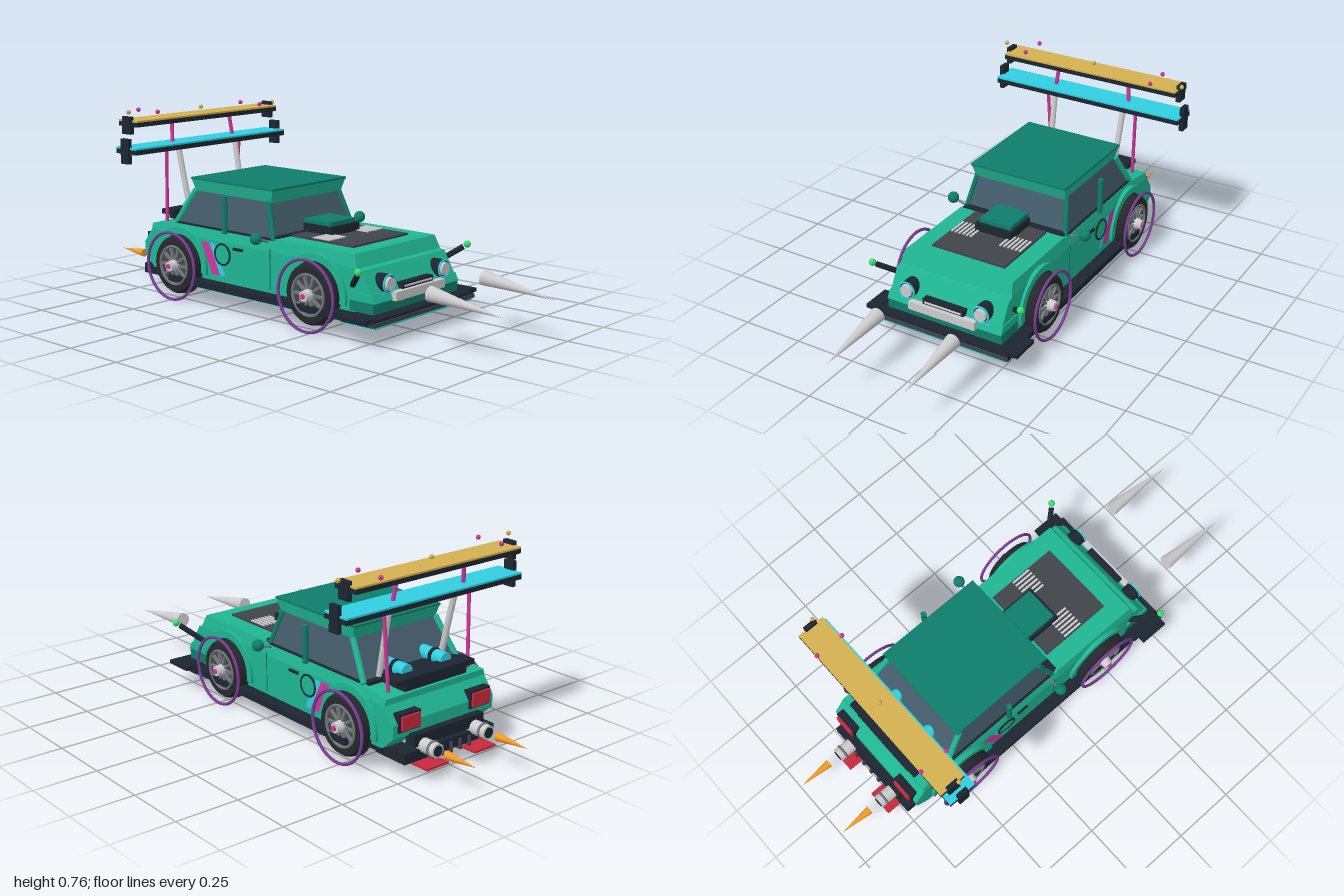
import * as THREE from 'three';

const C = { teal: 0x1fb592, dark: 0x0f7d6b, black: 0x1c2630, tire: 0x25282b, glass: 0x435c6a, grey: 0xcccccc, mid: 0x70767a,
  panel: 0x40454a, cyan: 0x2fcfe0, gold: 0xd4b050, pink: 0xd0359a, purple: 0x7a3c94, red: 0xc8283c, orange: 0xf09a28, green: 0x35e070 };
const mats = {};
const mat = (c, flat = true) => mats[c + '|' + flat] ??= new THREE.MeshStandardMaterial({ color: C[c], flatShading: flat, side: THREE.DoubleSide });
const V = (a) => new THREE.Vector3(...a);

export function createModel() {
  const car = new THREE.Group();
  car.name = 'rallyCar';
  const add = (name, geo, c, pos = [0, 0, 0], flat = true, parent = car) => {
    const m = new THREE.Mesh(geo, mat(c, flat));
    m.name = name;
    m.position.set(...pos);
    parent.add(m);
    return m;
  };
  // Box given by its min/max limits on each axis
  const box = (name, c, x0, x1, y0, y1, z0, z1) =>
    add(name, new THREE.BoxGeometry(x1 - x0, y1 - y0, z1 - z0), c, [(x0 + x1) / 2, (y0 + y1) / 2, (z0 + z1) / 2]);
  // Round bar or cone from p to q
  const rod = (name, c, p, q, r0, r1 = r0, seg = 12) => {
    const a = V(p), b = V(q), d = b.clone().sub(a);
    const m = add(name, new THREE.CylinderGeometry(r1, r0, d.length(), seg), c, a.clone().add(b).multiplyScalar(0.5).toArray(), false);
    m.quaternion.setFromUnitVectors(new THREE.Vector3(0, 1, 0), d.normalize());
    return m;
  };
  const ball = (name, c, p, r) => add(name, new THREE.SphereGeometry(r, 16, 12), c, p, false);
  const shape = (pts) => new THREE.Shape(pts.map(([x, y]) => new THREE.Vector2(x, y)));
  // Side profile extruded across the car, half width w0 at y0 changing to w1 at y1
  const hull = (name, c, pts, w0, w1 = w0, y0 = 0, y1 = 1) => {
    const g = new THREE.ExtrudeGeometry(shape(pts), { depth: 2, bevelEnabled: false });
    const p = g.attributes.position;
    for (let i = 0; i < p.count; i++)
      p.setZ(i, (p.getZ(i) - 1) * THREE.MathUtils.mapLinear(p.getY(i), y0, y1, w0, w1));
    g.computeVertexNormals();
    return add(name, g, c);
  };

  // Body shell
  hull('lowerBody', 'teal', [[-0.66, 0.1], [0.42, 0.1], [0.5, 0.17], [0.45, 0.255], [0.42, 0.26], [-0.67, 0.26], [-0.715, 0.2], [-0.715, 0.15]], 0.245);
  hull('hood', 'teal', [[0.0, 0.26], [0.43, 0.26], [0.41, 0.31], [0.02, 0.31]], 0.245, 0.235, 0.26, 0.31);
  hull('rearDeck', 'teal', [[-0.67, 0.26], [0.02, 0.26], [0.02, 0.3], [-0.53, 0.3], [-0.67, 0.283]], 0.245, 0.235, 0.26, 0.3);
  hull('cabinGlass', 'glass', [[-0.54, 0.3], [0.0, 0.3], [-0.05, 0.44], [-0.45, 0.44]], 0.225, 0.2, 0.3, 0.44);
  hull('roof', 'teal', [[-0.45, 0.435], [-0.035, 0.435], [-0.02, 0.485], [-0.465, 0.485]], 0.2, 0.21, 0.435, 0.485);
  box('roofPanel', 'dark', -0.467, -0.018, 0.483, 0.491, -0.212, 0.212);
  box('rearWindowFrame', 'black', -0.56, -0.535, 0.295, 0.31, -0.22, 0.22);
  box('cowl', 'black', -0.005, 0.025, 0.295, 0.315, -0.225, 0.225);

  // Hood panel, louvers and scoop
  box('hoodPanel', 'panel', 0.035, 0.34, 0.305, 0.318, -0.16, 0.16);
  for (const s of [-1, 1]) for (let i = 0; i < 6; i++) {
    const z = s * (0.066 + i * 0.017);
    box('hoodLouver', 'grey', 0.135, 0.22, 0.315, 0.322, z - 0.004, z + 0.004);
  }
  box('scoopBase', 'black', 0.02, 0.165, 0.317, 0.35, -0.08, 0.08);
  box('scoopTop', 'dark', 0.015, 0.15, 0.35, 0.366, -0.07, 0.07);

  // Nose: bumper, grille and splitter
  box('lowerNose', 'dark', 0.4, 0.51, 0.105, 0.145, -0.25, 0.25);
  hull('noseLedge', 'teal', [[0.4, 0.145], [0.515, 0.145], [0.5, 0.175], [0.4, 0.175]], 0.25);
  box('grille', 'black', 0.46, 0.515, 0.165, 0.195, -0.09, 0.09);
  box('grilleBar', 'grey', 0.515, 0.52, 0.18, 0.186, -0.08, 0.08);
  box('frontBumper', 'grey', 0.505, 0.53, 0.14, 0.173, -0.145, 0.145);
  box('splitter', 'black', 0.4, 0.55, 0.074, 0.1, -0.3, 0.3);
  box('splitterUnderside', 'cyan', 0.4, 0.55, 0.066, 0.074, -0.29, 0.29);
  box('splitterLip', 'panel', 0.53, 0.555, 0.075, 0.09, -0.3, 0.3);

  // Chassis and underfloor
  box('chassis', 'black', -0.64, 0.42, 0.075, 0.105, -0.235, 0.235);
  box('floorPanel', 'green', -0.43, 0.33, 0.04, 0.047, -0.2, 0.2);
  for (const x of [-0.35, -0.05, 0.25]) for (const z of [-0.16, -0.08, 0.08, 0.16])
    box('floorBracket', 'mid', x - 0.02, x + 0.02, 0.045, 0.08, z - 0.006, z + 0.006);

  // Tail
  box('rearBumper', 'black', -0.745, -0.7, 0.11, 0.155, -0.17, 0.17);
  box('diffuser', 'black', -0.75, -0.6, 0.06, 0.1, -0.22, 0.22);
  for (let i = -2; i <= 2; i++) box('diffuserFin', 'panel', -0.76, -0.6, 0.05, 0.09, i * 0.045 - 0.004, i * 0.045 + 0.004);
  box('engineTray', 'black', -0.67, -0.53, 0.29, 0.325, -0.15, 0.15);
  box('engineBar', 'black', -0.67, -0.6, 0.315, 0.335, -0.19, 0.19);

  // Rear wings: slab, coloured top skin, end plates
  const wing = (name, c, x0, x1, y0, y1, w, ex0, ex1, ey0, ey1) => {
    box(name, 'black', x0, x1, y0, y1 - 0.007, -w, w);
    box(name + 'Skin', c, x0, x1, y1 - 0.007, y1, -w, w);
    for (const s of [-1, 1]) box(name + 'EndPlate', 'black', ex0, ex1, ey0, ey1, s * w - 0.009, s * w + 0.009);
  };
  wing('lowerWing', 'cyan', -0.67, -0.555, 0.59, 0.616, 0.42, -0.635, -0.59, 0.552, 0.651);
  wing('upperWing', 'gold', -0.685, -0.575, 0.696, 0.721, 0.393, -0.655, -0.605, 0.666, 0.735);
  for (const [x, y, z, c] of [[-0.61, 0.755, 0.405, 'gold'], [-0.63, 0.743, 0, 'gold'], [-0.61, 0.732, -0.405, 'gold'],
    [-0.685, 0.75, 0.29, 'pink'], [-0.57, 0.75, 0.29, 'pink'], [-0.685, 0.735, -0.285, 'pink'], [-0.57, 0.735, -0.285, 'pink']])
    ball('wingBead', c, [x, y, z], 0.009);

  // Wheel built around its own axis, outer face towards +z
  const wheel = (x, s) => {
    const g = new THREE.Group();
    g.name = 'wheel';
    const tire = [[0.08, -0.027], [0.106, -0.027], [0.115, -0.015], [0.115, 0.015], [0.106, 0.027], [0.08, 0.027], [0.08, -0.027]];
    const part = (n, geo, c, z, flat) => add(n, geo, c, [0, 0, z], flat, g);
    part('tire', new THREE.LatheGeometry(tire.map(([r, y]) => new THREE.Vector2(r, y)), 28).rotateX(Math.PI / 2), 'tire', 0);
    part('rimDisc', new THREE.CylinderGeometry(0.08, 0.08, 0.03, 28).rotateX(Math.PI / 2), 'panel', 0);
    part('rimLip', new THREE.TorusGeometry(0.077, 0.006, 8, 32), 'mid', 0.026, false);
    for (let i = 0; i < 10; i++)
      part('spoke', new THREE.BoxGeometry(0.066, 0.01, 0.012).translate(0.04, 0, 0).rotateZ(i * Math.PI / 5), 'mid', 0.02);
    part('hub', new THREE.CylinderGeometry(0.02, 0.024, 0.035, 16).rotateX(Math.PI / 2), 'grey', 0.036, false);
    part('hubCap', new THREE.CylinderGeometry(0.01, 0.01, 0.01, 12).rotateX(Math.PI / 2), 'pink', 0.056);
    part('haloRing', new THREE.TorusGeometry(0.135, 0.006, 8, 48), 'purple', 0.042, false);
    g.position.set(x, 0.14, s * 0.265);
    if (s < 0) g.rotation.y = Math.PI;
    car.add(g);
  };
  // Fender arch over a wheel
  const arch = new THREE.Shape();
  arch.absarc(0, 0, 0.15, -0.15, Math.PI + 0.15, false);
  arch.absarc(0, 0, 0.122, Math.PI + 0.15, -0.15, true);
  const archGeo = new THREE.ExtrudeGeometry(arch, { depth: 0.02, bevelEnabled: false, curveSegments: 20 }).translate(0, 0, -0.01);

  for (const s of [-1, 1]) {
    for (const x of [-0.49, 0.235]) {
      wheel(x, s);
      add('fenderArch', archGeo, 'teal', [x, 0.14, s * 0.247]);
      add('wheelWell', new THREE.CircleGeometry(0.122, 28), 'black', [x, 0.14, s * 0.247]);
    }
    // Box mirrored onto this side, z limits as distances from the middle
    const side = (n, c, x0, x1, y0, y1, a, b) => box(n, c, x0, x1, y0, y1, Math.min(s * a, s * b), Math.max(s * a, s * b));

    // Sills
    side('sill', 'black', -0.52, 0.5, 0.075, 0.1, 0.23, 0.295);
    side('sillStrip', 'cyan', -0.45, 0.35, 0.053, 0.063, 0.21, 0.24);
    side('splitterTab', 'black', 0.42, 0.54, 0.09, 0.105, 0.28, 0.333);

    // Window pillars and frames
    rod('frontPillar', 'dark', [0.0, 0.3, s * 0.226], [-0.05, 0.44, s * 0.201], 0.01, 0.01, 8);
    rod('rearPillar', 'teal', [-0.54, 0.3, s * 0.226], [-0.45, 0.44, s * 0.201], 0.012, 0.012, 8);
    rod('middlePillar', 'dark', [-0.24, 0.297, s * 0.248], [-0.24, 0.444, s * 0.248], 0.011);
    rod('windowSill', 'black', [-0.54, 0.302, s * 0.228], [0, 0.302, s * 0.228], 0.006, 0.006, 6);

    // Mirror
    rod('mirrorArm', 'mid', [-0.02, 0.295, s * 0.235], [-0.02, 0.312, s * 0.3], 0.004);
    ball('mirror', 'dark', [-0.02, 0.315, s * 0.3], 0.023);

    // Door details
    side('doorHandle', 'black', -0.195, -0.145, 0.238, 0.248, 0.243, 0.252);
    side('doorSeam', 'dark', -0.003, 0.001, 0.11, 0.27, 0.244, 0.2465);
    for (const [c, x, w] of [['pink', -0.375, 0.045], ['cyan', -0.33, 0.03]])
      add('doorStripe', new THREE.ShapeGeometry(shape([[x, 0.25], [x + 0.06, 0.125], [x + 0.06 + w, 0.125], [x + w, 0.25]])), c, [0, 0, s * 0.2475]);
    add('doorDisc', new THREE.CircleGeometry(0.038, 28), 'teal', [-0.255, 0.212, s * 0.2485], false);
    add('doorRing', new THREE.TorusGeometry(0.041, 0.004, 6, 32), 'black', [-0.255, 0.212, s * 0.248], false);

    // Headlight, lamp trim and probe
    rod('headlightCase', 'black', [0.42, 0.205, s * 0.162], [0.51, 0.205, s * 0.162], 0.034, 0.034, 20);
    rod('headlightLens', 'grey', [0.5, 0.205, s * 0.162], [0.52, 0.205, s * 0.162], 0.028, 0.024, 20);
    add('headlightRing', new THREE.TorusGeometry(0.033, 0.004, 8, 28).rotateY(Math.PI / 2), 'cyan', [0.512, 0.205, s * 0.162], false);
    side('lampTrim', 'cyan', 0.49, 0.506, 0.158, 0.17, 0.135, 0.195);
    ball('markerLamp', 'orange', [0.51, 0.135, s * 0.092], 0.006);
    rod('frontHorn', 'black', [0.41, 0.2, s * 0.245], [0.49, 0.262, s * 0.312], 0.011);
    ball('hornTip', 'green', [0.5, 0.272, s * 0.323], 0.014);
    rod('lightBeam', 'grey', [0.692, 0.2, s * 0.162], [0.998, 0.166, s * 0.162], 0.029, 0, 20);

    // Tail lights, exhausts and flames
    side('tailLight', 'red', -0.732, -0.69, 0.178, 0.23, 0.13, 0.215);
    side('tailLightFrame', 'black', -0.722, -0.69, 0.17, 0.237, 0.122, 0.223);
    rod('exhaust', 'grey', [-0.815, 0.11, s * 0.125], [-0.66, 0.11, s * 0.125], 0.027, 0.027, 20);
    rod('exhaustBore', 'black', [-0.818, 0.11, s * 0.125], [-0.81, 0.11, s * 0.125], 0.02, 0.02, 20);
    add('exhaustCollar', new THREE.TorusGeometry(0.027, 0.005, 8, 24).rotateY(Math.PI / 2), 'mid', [-0.79, 0.11, s * 0.125], false);
    rod('flame', 'orange', [-0.86, 0.11, s * 0.125], [-1, 0.112, s * 0.125], 0.017, 0, 12);
    side('rearFlap', 'red', -0.81, -0.7, 0.044, 0.052, 0.065, 0.17);

    // Intake canisters and wing struts
    rod('intake', 'cyan', [-0.62, 0.338, s * 0.095], [-0.49, 0.338, s * 0.095], 0.027, 0.027, 18);
    rod('intakeCap', 'black', [-0.57, 0.338, s * 0.095], [-0.555, 0.338, s * 0.095], 0.03, 0.03, 18);
    rod('wingPost', 'grey', [-0.535, 0.31, s * 0.15], [-0.595, 0.595, s * 0.16], 0.012);
    rod('lowerStrut', 'pink', [-0.632, 0.29, s * 0.195], [-0.615, 0.595, s * 0.206], 0.007);
    rod('upperStrut', 'pink', [-0.62, 0.61, s * 0.17], [-0.63, 0.7, s * 0.161], 0.008);
  }
  return car;
}
